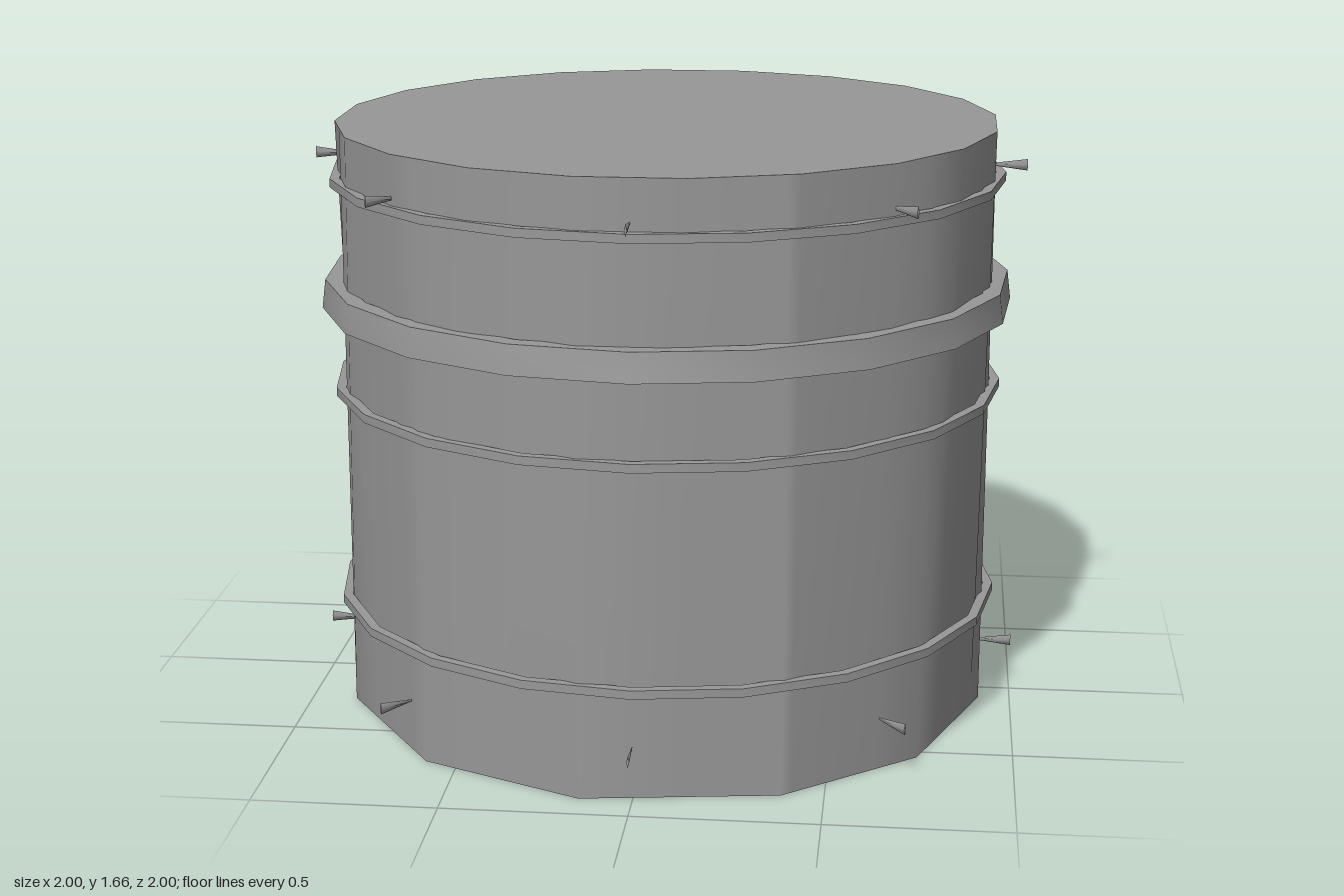
import * as THREE from 'three';
import { toCreasedNormals } from 'three/addons/utils/BufferGeometryUtils.js';

const material = new THREE.MeshStandardMaterial({ color: 0x989898, side: THREE.DoubleSide });
const HEIGHT = 1.66, RADIUS = 0.922;
const TOP_SIDES = 20;
const rad = THREE.MathUtils.degToRad;

// Corner angles of the coarse base and the finer rim, in degrees
const baseAngles = [-155, -126, -87, -65, -42, -15, 5, 36, 65, 99, 130, 163];
const rimAngles = Array.from({ length: TOP_SIDES }, (_, i) => -171 + i * 18);

// Radius of an inscribed polygon at a given angle
function polygonRadius(angles, radius, angle) {
  const n = angles.length;
  for (let i = 0; i < n; i++) {
    const a = angles[i];
    const b = i < n - 1 ? angles[i + 1] : angles[0] + 360;
    for (const t of [angle, angle + 360]) {
      if (t >= a && t <= b) {
        return radius * Math.cos(rad((b - a) / 2)) / Math.cos(rad(t - (a + b) / 2));
      }
    }
  }
  return radius;
}

// Wall: open at the bottom, running from the coarse base to the finer rim
function wallGeometry() {
  const angles = [...new Set([...baseAngles, ...rimAngles])].sort((a, b) => a - b);
  const n = angles.length, positions = [], index = [];
  angles.forEach((angle) => {
    const c = Math.cos(rad(angle)), s = Math.sin(rad(angle));
    const r0 = polygonRadius(baseAngles, 0.914, angle);
    const r1 = polygonRadius(rimAngles, RADIUS, angle);
    positions.push(r0 * c, 0, r0 * s, r1 * c, HEIGHT, r1 * s);
  });
  for (let i = 0; i < n; i++) {
    const a = 2 * i, b = 2 * ((i + 1) % n);
    index.push(a, a + 1, b, b, a + 1, b + 1);
  }
  const geometry = new THREE.BufferGeometry();
  geometry.setAttribute('position', new THREE.Float32BufferAttribute(positions, 3));
  geometry.setIndex(index);
  geometry.computeVertexNormals();
  return geometry;
}

// Closed ring with a four-cornered section, smooth around and sharp at its edges
function ringGeometry(inner, outerLow, outerHigh, y0, y1, sides) {
  const section = [[inner, y0], [outerLow, y0], [outerHigh, y1], [inner, y1], [inner, y0]];
  const lathe = new THREE.LatheGeometry(section.map(([x, y]) => new THREE.Vector2(x, y)), sides);
  return toCreasedNormals(lathe, rad(40));
}

export function createModel() {
  const group = new THREE.Group();
  const add = (name, geometry) => {
    const mesh = new THREE.Mesh(geometry, material);
    mesh.name = name;
    group.add(mesh);
    return mesh;
  };

  add('wall', wallGeometry());

  // Flat lid sharing the rim's corners
  const lid = new THREE.CircleGeometry(RADIUS, TOP_SIDES, rad(9));
  lid.rotateX(-Math.PI / 2);
  add('lid', lid).position.y = HEIGHT;

  // Wide collar, slightly wider at its lower edge
  add('collar', ringGeometry(0.91, 0.97, 0.96, 1.15, 1.23, 19));

  // Thin hoops
  [0.3, 0.91, 1.5].forEach((y) => {
    add('hoop', ringGeometry(0.915, 0.942, 0.942, y, y + 0.024, 20));
  });

  // Small flat studs that widen toward their outer ends, eight to a row
  const stud = new THREE.CylinderGeometry(0.016, 0.003, 0.1, 4);
  stud.rotateZ(-Math.PI / 2);
  stud.scale(1, 1, 0.25);
  stud.translate(0.95, 0, 0);
  for (const y of [0.15, 1.545]) {
    for (let i = 0; i < 8; i++) {
      const mesh = add('stud', stud);
      mesh.position.y = y;
      mesh.rotation.y = i * Math.PI / 4;
    }
  }
  return group;
}
